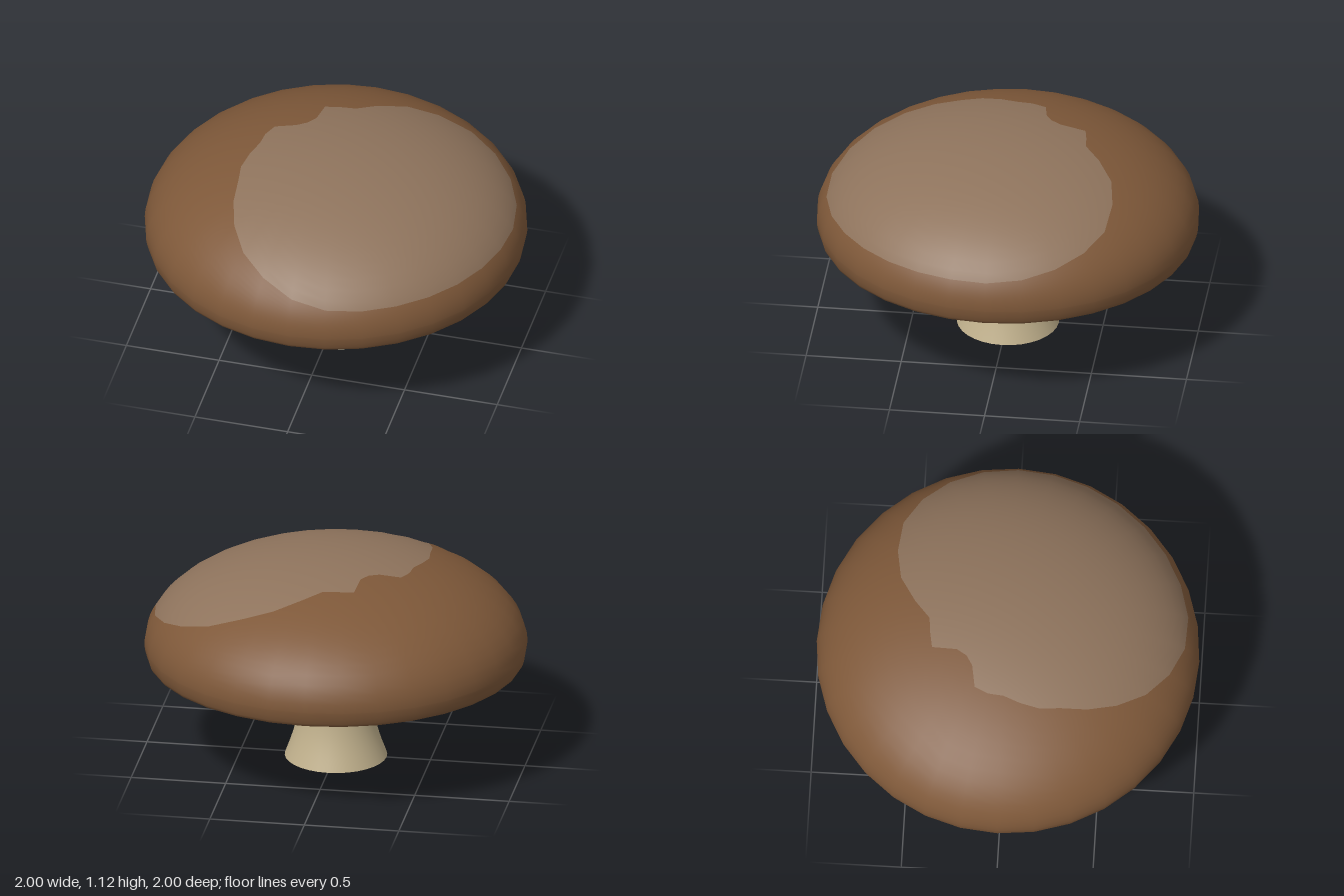
import * as THREE from 'three';

const SEGMENTS = 32;
const RIM_Y = 0.63, DOME_H = 0.49;

// Radius of the pale patch's edge in each direction, from +z round through +x
const PATCH_EDGE = [
  0.925, 0.95, 0.955, 0.955, 0.955, 0.955, 0.955, 0.955,
  0.955, 0.945, 0.92, 0.88, 0.82, 0.72, 0.62, 0.5,
  0.41, 0.41, 0.42, 0.31, 0.29, 0.31, 0.4, 0.41,
  0.41, 0.45, 0.5, 0.54, 0.62, 0.71, 0.8, 0.87,
];

// Piece of the half-ellipsoid dome between two polar angles per column
function domePiece(rows, from, to) {
  const positions = [], normals = [], index = [];
  const n = new THREE.Vector3();
  for (let i = 0; i <= SEGMENTS; i++) {
    const a = (i / SEGMENTS) * Math.PI * 2;
    const edge = Math.asin(PATCH_EDGE[i % SEGMENTS]);
    for (let j = 0; j <= rows; j++) {
      const u = THREE.MathUtils.lerp(from(edge), to(edge), j / rows);
      const r = Math.sin(u), c = Math.cos(u);
      positions.push(r * Math.sin(a), RIM_Y + DOME_H * c, r * Math.cos(a));
      n.set(r * Math.sin(a), c / DOME_H, r * Math.cos(a)).normalize();
      normals.push(n.x, n.y, n.z);
      if (i < SEGMENTS && j < rows) {
        const p = i * (rows + 1) + j, q = p + rows + 1;
        index.push(p, p + 1, q + 1, p, q + 1, q);
      }
    }
  }
  const geometry = new THREE.BufferGeometry();
  geometry.setAttribute('position', new THREE.Float32BufferAttribute(positions, 3));
  geometry.setAttribute('normal', new THREE.Float32BufferAttribute(normals, 3));
  geometry.setIndex(index);
  return geometry;
}

function lathe(points) {
  return new THREE.LatheGeometry(points.map(([r, y]) => new THREE.Vector2(r, y)), SEGMENTS);
}

export function createModel() {
  const group = new THREE.Group();
  const brown = new THREE.MeshStandardMaterial({ color: 0x7e5839 });
  const pale = new THREE.MeshStandardMaterial({ color: 0x8e735c });
  const cream = new THREE.MeshStandardMaterial({ color: 0xc0b08c, side: THREE.DoubleSide });

  const add = (name, geometry, material) => {
    const mesh = new THREE.Mesh(geometry, material);
    mesh.name = name;
    group.add(mesh);
  };

  // Cap: pale patch over the crown, brown around it down to the widest ring
  add('capPatch', domePiece(14, () => 0, (edge) => edge), pale);
  add('capDome', domePiece(12, (edge) => edge, () => Math.PI / 2), brown);

  // Rounded lip turning in under the cap
  add('capLip', lathe([
    [0.965, 0.543], [0.98, 0.55], [0.989, 0.567], [0.996, 0.595], [0.9995, 0.618], [1, RIM_Y],
  ]), brown);

  // Shallow hollow underside rising to a small socket around the stem
  add('capUnderside', lathe([[0.19, 0.615], [0.4, 0.606], [0.7, 0.58], [0.965, 0.543]]), cream);
  add('stemSocket', lathe([[0.175, 0.66], [0.19, 0.615]]), brown);

  // Flared hollow stem, open at the foot
  const stemCurve = new THREE.SplineCurve([
    [0.268, 0], [0.232, 0.1], [0.206, 0.2], [0.19, 0.32], [0.183, 0.45], [0.18, 0.66],
  ].map(([r, y]) => new THREE.Vector2(r, y)));
  add('stem', new THREE.LatheGeometry(stemCurve.getPoints(14), SEGMENTS), cream);

  return group;
}
